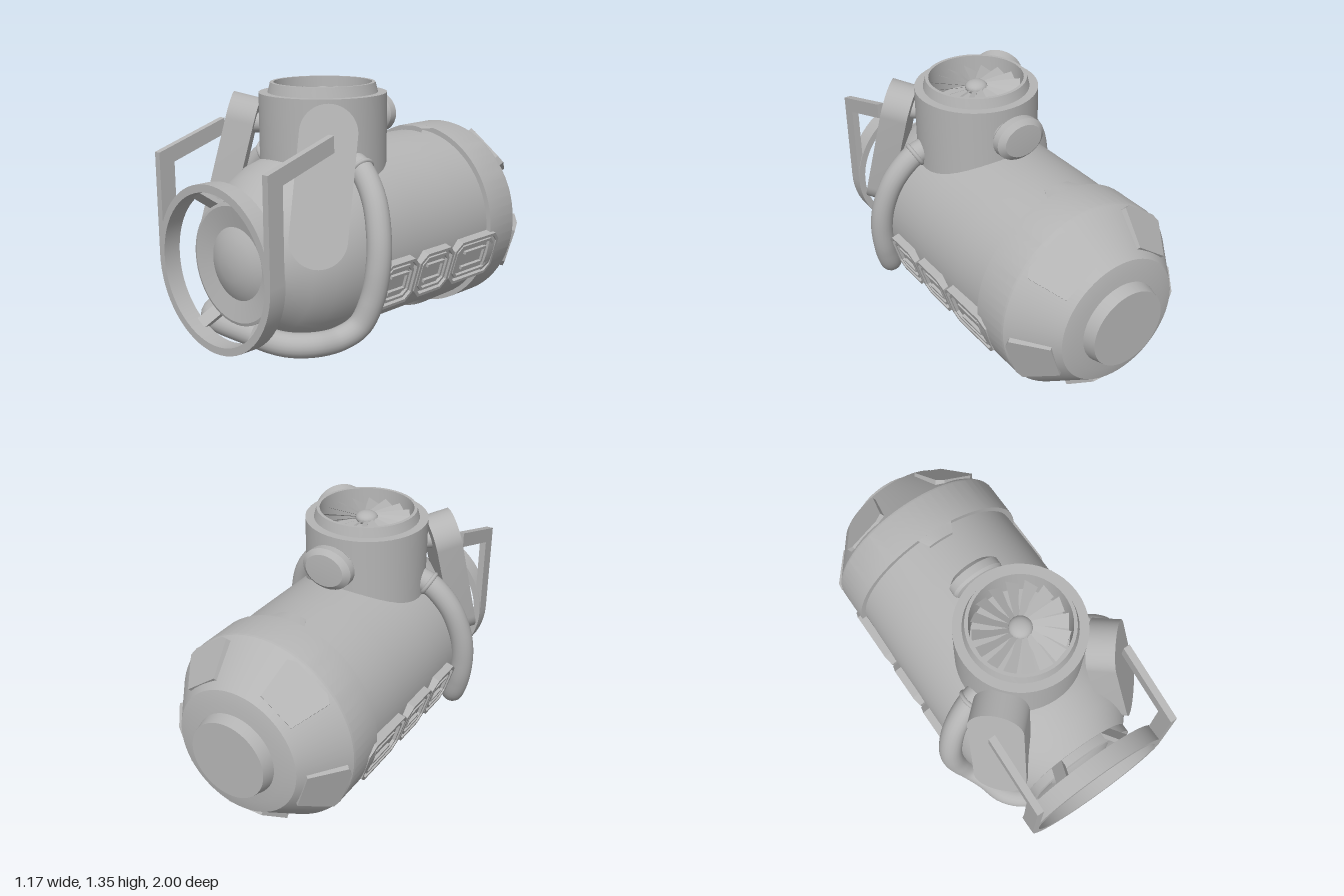
import * as THREE from 'three';
import { toCreasedNormals } from 'three/addons/utils/BufferGeometryUtils.js';

const CY = 0.54; // height of the hull axis
const V = (x, y, z) => new THREE.Vector3(x, y, z);

export function createModel() {
  const model = new THREE.Group();
  model.name = 'podThruster';
  const grey = new THREE.MeshStandardMaterial({ color: 0xb4b4b4, side: THREE.DoubleSide });
  grey.name = 'grey';

  const add = (name, geometry, parent = model) => {
    const mesh = new THREE.Mesh(geometry, grey);
    mesh.name = name;
    parent.add(mesh);
    return mesh;
  };
  const group = (name, parent = model) => {
    const g = new THREE.Group();
    g.name = name;
    parent.add(g);
    return g;
  };
  const lathe = (pts, segs = 48, start = 0, len = Math.PI * 2) =>
    new THREE.LatheGeometry(pts.map(p => new THREE.Vector2(...p)), segs, start, len);
  const crease = (g, a = 0.45) => toCreasedNormals(g, a);
  const alongZ = (pts, ...rest) => lathe(pts, ...rest).rotateX(Math.PI / 2).translate(0, CY, 0);
  const shapeOf = pts => new THREE.Shape(pts.map(p => new THREE.Vector2(...p)));
  const extrude = (shape, depth, curveSegments = 24) =>
    new THREE.ExtrudeGeometry(shape, { depth, bevelEnabled: false, curveSegments });
  // Extrusion that faces +x, with the shape's x running to -z
  const sidePlate = (shape, depth) => extrude(shape, depth).rotateY(Math.PI / 2);

  // Hull, with the belly pressed flat ahead of the tail
  const hull = alongZ([[0.48, -0.5], [0.485, -0.25], [0.485, -0.19], [0.485, 0.1], [0.485, 0.38],
    [0.475, 0.5], [0.445, 0.62], [0.39, 0.72], [0.3, 0.82], [0, 0.82]], 64);
  const hp = hull.attributes.position;
  for (let i = 0; i < hp.count; i++) {
    if (hp.getZ(i) > -0.22) hp.setY(i, Math.max(hp.getY(i), 0.18));
  }
  add('hull', crease(hull));
  add('tail', crease(alongZ([[0, -0.935], [0.27, -0.935], [0.335, -0.92], [0.35, -0.9],
    [0.505, -0.69], [0.508, -0.68], [0.508, -0.48], [0.47, -0.48]], 64), 0.3));
  add('tailCap', crease(alongZ([[0, -0.997], [0.205, -0.997], [0.225, -0.92]])));
  for (const phi of [0, Math.PI]) {
    const tab = lathe([[0.508, -0.48], [0.508, -0.42], [0.48, -0.42]], 6, phi - 0.2, 0.4);
    const p = tab.attributes.position;
    for (let i = 0; i < p.count; i++) if (p.getY(i) > -0.45) p.setX(i, p.getX(i) * 0.7);
    add('collarTab', crease(tab.rotateX(Math.PI / 2).translate(0, CY, 0)));
  }

  // Five tail plates
  const plate = shapeOf([[-0.11, -0.1], [-0.085, -0.14], [0.115, -0.1],
    [0.115, 0.1], [-0.085, 0.14], [-0.11, 0.1]]);
  for (let i = 0; i < 5; i++) {
    const g = group('tailPlate');
    g.position.y = CY;
    g.rotation.z = (54 + i * 72) * Math.PI / 180;
    const m = add('plate', sidePlate(plate, 0.032).translate(-0.024, 0, 0), g);
    m.position.set(0.428, 0, -0.795);
    m.rotation.y = 0.65;
  }

  // Side vent panels: framed chamfered rectangles with louvres
  const octagon = (w, h, c) => [[-w, -h + c], [-w + c, -h], [w - c, -h], [w, -h + c],
    [w, h - c], [w - c, h], [-w + c, h], [-w, h - c]];
  const frame = (w, h, c, t) => {
    const s = shapeOf(octagon(w, h, c));
    s.holes.push(new THREE.Path(octagon(w - t, h - t, c * 0.8).map(p => new THREE.Vector2(...p))));
    return s;
  };
  for (const s of [1, -1]) {
    const side = group(s > 0 ? 'leftVents' : 'rightVents');
    side.position.y = CY;
    side.rotation.z = s > 0 ? -0.29 : Math.PI + 0.29;
    for (const [front, back] of [[0.37, 0.11], [0.1, -0.17], [-0.18, -0.55]]) {
      const w = (front - back) / 2, vent = group('vent', side);
      vent.position.set(0.465, 0, (front + back) / 2);
      add('ventFrame', sidePlate(frame(w, 0.125, 0.045, 0.016), 0.045), vent);
      add('ventInnerFrame', sidePlate(frame(w - 0.03, 0.095, 0.035, 0.014), 0.04), vent);
      add('ventPanel', sidePlate(shapeOf(octagon(w, 0.125, 0.045)), 0.024), vent);
      for (const y of [-0.045, 0.045]) {
        add('louvre', new THREE.BoxGeometry(0.04, 0.016, w * 0.9), vent).position.set(0.02, y, 0);
      }
      add('ventBar', new THREE.BoxGeometry(0.036, 0.1, 0.012), vent).position.set(0.02, 0, -w * 0.5);
    }
  }

  // Fan: pitched blades around a hub
  const fan = (name, r, count, y, z) => {
    const g = group(name);
    g.position.set(0, y, z);
    const blade = new THREE.ShapeGeometry(shapeOf([[0.15 * r, -0.01], [0.55 * r, -0.09 * r],
      [0.95 * r, -0.22 * r], [r, 0.1 * r], [0.6 * r, 0.1 * r], [0.15 * r, 0.02]]));
    blade.rotateX(-Math.PI / 2 + 0.5);
    for (let i = 0; i < count; i++) add('blade', blade, g).rotation.y = i / count * Math.PI * 2;
    const hub = add('hub', new THREE.SphereGeometry(0.25 * r, 20, 12), g);
    hub.scale.y = 0.6;
  };

  // Top intake turret
  add('intakeTurret', crease(lathe([[0.32, 0.8], [0.32, 1.3], [0.275, 1.3], [0.262, 1.35],
    [0.245, 1.35], [0.238, 1.18], [0, 1.18]])).translate(0, 0, 0.27));
  fan('intakeFan', 0.236, 16, 1.29, 0.27);
  const knob = crease(lathe([[0.08, -0.05], [0.08, 0.025], [0.1, 0.03], [0.11, 0.045],
    [0.11, 0.085], [0.085, 0.11], [0, 0.115]], 32));
  knob.rotateX(-Math.PI / 2).scale(1.27, 1, 1);
  add('turretKnob', knob).position.set(0, 1.16, -0.04);

  // Bottom exhaust and belly duct
  add('exhaust', crease(lathe([[0, 0.11], [0.16, 0.11], [0.17, 0], [0.186, 0],
    [0.22, 0.04], [0.26, 0.04], [0.26, 0.3]])).translate(0, 0, 0.41));
  fan('exhaustFan', 0.16, 10, 0.05, 0.41);
  add('bellyDuct', new THREE.BoxGeometry(0.26, 0.11, 0.44)).position.set(0, 0.135, -0.03);

  // Front lens, guard ring and struts
  add('lens', crease(alongZ([[0.3, 0.8], [0.3, 0.865], [0.285, 0.87], [0.18, 0.85],
    [0.14, 0.872], [0.08, 0.89], [0, 0.897]]), 0.3)).position.y = -0.01;
  const ring = new THREE.Shape().absarc(0, 0, 0.408, 0, Math.PI * 2);
  ring.holes.push(new THREE.Path().absarc(0, 0, 0.37, 0, Math.PI * 2, true));
  add('guardRing', crease(extrude(ring, 0.09, 32))).position.set(0, 0.53, 0.91);
  for (const deg of [60, 120, 240, 300]) {
    const g = group('guardStrut');
    g.position.y = 0.53;
    g.rotation.z = deg * Math.PI / 180;
    const m = add('strut', new THREE.BoxGeometry(0.17, 0.065, 0.025), g);
    m.position.set(0.333, 0, 0.875);
    m.rotation.y = -0.85;
  }

  // Arms, pegs and guard brackets
  const bracket = shapeOf([[-1, 0.53], [-1, 1.04], [-0.6, 1.165], [-0.6, 1.085],
    [-0.915, 0.985], [-0.915, 0.53]]);
  for (const s of [1, -1]) {
    const label = s > 0 ? 'left' : 'right';
    const top = V(s * 0.31, 1.15, 0.54), bottom = V(s * 0.36, 0.68, 0.66);
    const up = top.clone().sub(bottom), half = up.length() / 2;
    up.normalize();
    const n = V(s * 0.7, 0, 0.7);
    n.addScaledVector(up, -n.dot(up)).normalize();
    const stadium = new THREE.Shape().absarc(0, half, 0.135, 0, Math.PI);
    stadium.absarc(0, -half, 0.135, Math.PI, Math.PI * 2);
    const arm = add(label + 'Arm', crease(extrude(stadium, 0.14, 16).translate(0, 0, -0.07)));
    arm.quaternion.setFromRotationMatrix(new THREE.Matrix4().makeBasis(up.clone().cross(n), up, n));
    arm.position.copy(top).add(bottom).multiplyScalar(0.5);

    const peg = add(label + 'Peg', new THREE.CylinderGeometry(0.05, 0.05, 0.2, 20));
    peg.quaternion.setFromUnitVectors(V(0, 1, 0), V(s * 0.75, 0, 0.66).normalize());
    peg.position.set(s * 0.25, 1.14, 0.49);
    add(label + 'Bracket', sidePlate(bracket, 0.036)).position.x = s * 0.39 - 0.018;
  }

  // Pipe running down both sides and under the nose
  const run = [[0.22, 1.0, 0.33], [0.34, 0.96, 0.35], [0.45, 0.84, 0.38], [0.51, 0.68, 0.41],
    [0.525, 0.53, 0.43], [0.505, 0.37, 0.45], [0.46, 0.24, 0.49], [0.41, 0.185, 0.58],
    [0.37, 0.18, 0.7], [0.27, 0.18, 0.79]];
  const path = [...run.map(p => V(...p)), V(0, 0.18, 0.81),
    ...run.slice().reverse().map(([x, y, z]) => V(-x, y, z))];
  add('bumperPipe', new THREE.TubeGeometry(new THREE.CatmullRomCurve3(path), 120, 0.06, 20));

  // Collars where the pipe enters the hull
  for (const s of [1, -1]) {
    const collar = add('pipeCollar', new THREE.TorusGeometry(0.058, 0.012, 10, 24));
    collar.position.set(s * 0.34, 0.96, 0.35);
    collar.quaternion.setFromUnitVectors(V(0, 0, 1), V(s * 0.85, -0.5, 0.12).normalize());
  }
  return model;
}
